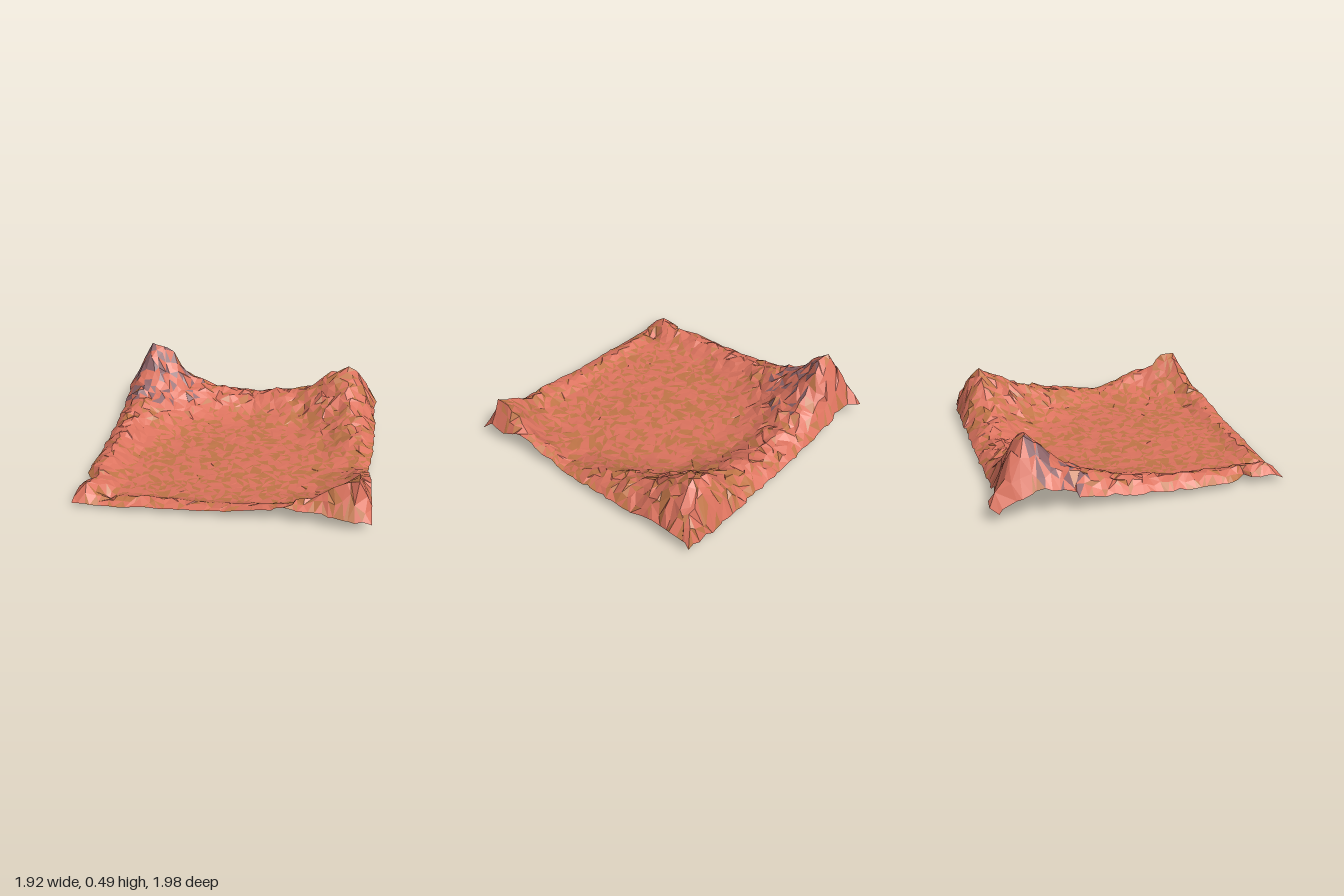
import * as THREE from 'three';

// Control heights (hundredths) at the crossings of these x columns and z rows
const COLS = [-0.95, -0.87, -0.8, -0.7, -0.5, -0.3, 0, 0.4, 0.6, 0.75, 0.87, 0.95];
const ROWS = [-0.91, -0.84, -0.74, -0.64, -0.52, -0.35, -0.1, 0.25, 0.6, 0.8, 0.88, 0.96];
const HEIGHTS = [
  [8, 14, 15, 12, 7, 6, 6, 7, 7, 7, 7, 6],
  [14, 30, 37, 34, 19, 13, 11, 15, 24, 28, 22, 9],
  [20, 39, 52, 52, 25, 17, 14, 20, 34, 39, 27, 11],
  [20, 35, 42, 40, 23, 15, 11, 18, 32, 36, 25, 10],
  [17, 28, 31, 28, 18, 9, 4, 11, 23, 28, 21, 9],
  [11, 19, 21, 19, 9, 4, 3, 4, 12, 20, 17, 8],
  [8, 14, 15, 10, 4, 3, 3, 3, 5, 13, 14, 8],
  [6, 13, 12, 4, 3, 3, 3, 3, 3, 4, 6, 5],
  [6, 12, 10, 4, 3, 3, 3, 3, 4, 9, 17, 17],
  [7, 14, 11, 5, 4, 4, 4, 5, 10, 21, 31, 10],
  [7, 13, 9, 7, 8, 8, 7, 11, 18, 28, 31, 14],
  [4, 4, 3, 3, 4, 5, 6, 11, 10, 9, 7, 6],
];
const N = 42;

function makeRandom(seed) {
  return () => {
    seed = (seed * 1664525 + 1013904223) % 4294967296;
    return seed / 4294967296;
  };
}

// Interval index and fraction of a value within a sorted list
function locate(list, v) {
  let i = 0;
  while (i < list.length - 2 && v > list[i + 1]) i++;
  return [i, THREE.MathUtils.clamp((v - list[i]) / (list[i + 1] - list[i]), 0, 1)];
}

function heightAt(x, z) {
  const [i, s] = locate(COLS, x);
  const [j, t] = locate(ROWS, z);
  const { lerp } = THREE.MathUtils;
  return 0.01 * lerp(
    lerp(HEIGHTS[j][i], HEIGHTS[j][i + 1], s),
    lerp(HEIGHTS[j + 1][i], HEIGHTS[j + 1][i + 1], s), t);
}

const bump = (v, centre, width) => Math.exp(-(((v - centre) / width) ** 2));

// Jittered sheet with a flat basin, raised rim and corner hills
function terrainGeometry(random) {
  const geometry = new THREE.PlaneGeometry(1.9, 1.87, N, N);
  geometry.rotateX(-Math.PI / 2);
  geometry.translate(0, 0, 0.025);
  const p = geometry.attributes.position;
  const jitter = (amount) => (random() - 0.5) * amount;
  for (let k = 0; k < p.count; k++) {
    const col = k % (N + 1), row = Math.floor(k / (N + 1));
    const sideEdge = col === 0 || col === N, endEdge = row === 0 || row === N;
    let x = p.getX(k) + jitter(sideEdge ? 0.015 : 0.035);
    let z = p.getZ(k) + jitter(endEdge ? 0.015 : 0.035);
    let y = heightAt(x, z);
    // Rougher rock on high ground, calmer on the front right hill
    const smooth = bump(x, 0.85, 0.4) * bump(z, 0.85, 0.4);
    const rough = THREE.MathUtils.clamp((y - 0.045) / 0.1, 0, 1) * (1 - 0.8 * smooth);
    y += jitter(0.004 + 0.016 * rough) + 0.014 * rough * Math.sin(x * 31 + z * 9) * Math.sin(z * 27);
    x += jitter(0.015 * rough);
    z += jitter(0.015 * rough);
    // Corner spurs, drawn-in right edge, notch in the left edge and the lowest point
    z -= 0.09 * bump(x, -0.89, 0.06) * bump(z, -0.92, 0.07);
    z += 0.04 * bump(x, 0.82, 0.18) * bump(z, 0.96, 0.06);
    z += 0.025 * bump(x, 0.95, 0.1) * bump(z, -0.92, 0.06);
    x -= 0.03 * bump(z, 0.35, 0.25) * bump(x, 0.95, 0.08);
    x += 0.11 * bump(z, 0.69, 0.035) * bump(x, -0.95, 0.06);
    y -= 0.06 * bump(x, -0.74, 0.05) * bump(z, 0.84, 0.05);
    p.setXYZ(k, x, Math.max(0, y), z);
  }
  // Turn the diagonal of about half the squares so the facets look irregular
  const index = geometry.index;
  for (let k = 0; k < index.count; k += 6) {
    if (random() < 0.5) continue;
    index.setX(k + 2, index.getX(k + 4));
    index.setX(k + 3, index.getX(k));
  }
  return geometry.toNonIndexed();
}

export function createModel() {
  const random = makeRandom(17);
  const group = new THREE.Group();
  group.name = 'desertTerrain';
  const p = terrainGeometry(random).attributes.position;

  // Sort the facets into rock colours by height, slope and chance
  const facets = { redRock: [], brownRock: [], purpleRock: [] };
  const tri = new THREE.Triangle(), normal = new THREE.Vector3(), mid = new THREE.Vector3();
  for (let k = 0; k < p.count; k += 3) {
    tri.setFromAttributeAndIndices(p, k, k + 1, k + 2);
    tri.getNormal(normal);
    tri.getMidpoint(mid);
    const innerPeak = mid.x < -0.4 && mid.z < -0.35 && normal.z > 0.2 && mid.y > 0.15;
    const chance = random();
    let kind = 'redRock';
    if (innerPeak && chance < 0.4) kind = 'purpleRock';
    else if (chance < (mid.y < 0.06 || mid.x > 0.3 ? 0.4 : 0.2)) kind = 'brownRock';
    for (const v of [tri.a, tri.b, tri.c]) facets[kind].push(v.x, v.y, v.z);
  }

  const colors = { redRock: 0xde745f, brownRock: 0xc27648, purpleRock: 0x8f656a };
  for (const [name, points] of Object.entries(facets)) {
    const geometry = new THREE.BufferGeometry();
    geometry.setAttribute('position', new THREE.Float32BufferAttribute(points, 3));
    geometry.computeVertexNormals();
    const mesh = new THREE.Mesh(geometry, new THREE.MeshStandardMaterial({
      color: colors[name], flatShading: true, side: THREE.DoubleSide,
    }));
    mesh.name = name;
    group.add(mesh);
  }
  return group;
}
